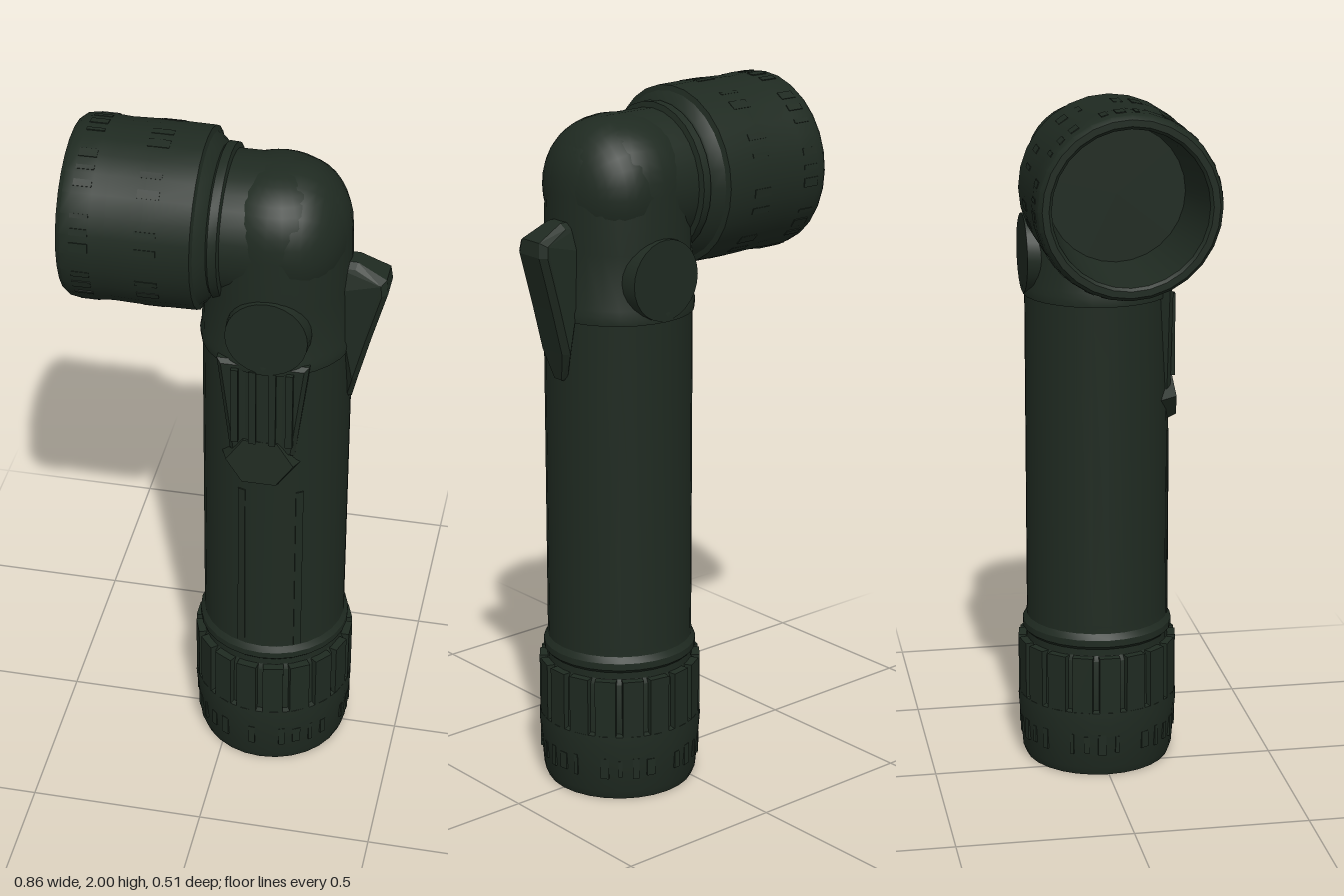
import * as THREE from 'three';
import { toCreasedNormals } from 'three/addons/utils/BufferGeometryUtils.js';

const AXIS_X = 0.123;  // upright body axis
const HEAD_Y = 1.75;   // horizontal head axis
const SEG = 28;

export function createModel() {
  const green = new THREE.MeshStandardMaterial({ color: 0x1f2a21 });
  green.name = 'olive plastic';
  const grey = new THREE.MeshStandardMaterial({ color: 0x6b6569 });
  grey.name = 'grey base disc';

  const model = new THREE.Group();
  model.name = 'angleFlashlight';

  const add = (name, geo, parent = model, mat = green) => {
    const mesh = new THREE.Mesh(geo, mat);
    mesh.name = name;
    parent.add(mesh);
    return mesh;
  };
  const lathe = (pts) => toCreasedNormals(
    new THREE.LatheGeometry(pts.map(([r, y]) => new THREE.Vector2(r, y)), SEG), 0.5);
  const shape = (pts) => new THREE.Shape(pts.map(([x, y]) => new THREE.Vector2(x, y)));

  // Quarter of a squared-off ellipse, closing a profile at the axis
  const roundEnd = (r, y0, h, power) => {
    const pts = [];
    for (let i = 0; i < 10; i++) {
      const a = (i / 10) * Math.PI / 2;
      pts.push([r * Math.pow(Math.cos(a), power), y0 + h * Math.pow(Math.sin(a), power)]);
    }
    return [...pts, [0, y0 + h]];
  };

  // Boxes spaced around a y axis, each pointing outwards
  const ringOfBoxes = (name, parent, count, radius, y, size) => {
    for (let i = 0; i < count; i++) {
      const dims = size(i);
      if (!dims) continue;
      const a = ((i + 0.5) / count) * Math.PI * 2;
      const box = add(name, new THREE.BoxGeometry(...dims), parent);
      box.position.set(Math.sin(a) * radius, y, Math.cos(a) * radius);
      box.rotation.y = a;
    }
  };

  // Upright parts share one axis
  const upright = new THREE.Group();
  upright.name = 'uprightParts';
  upright.position.x = AXIS_X;
  model.add(upright);

  // Tail cap with a recessed underside
  add('tailCap', lathe([
    [0, 0.07], [0.165, 0.07], [0.17, 0.008], [0.18, 0], [0.212, 0], [0.222, 0.025],
    [0.234, 0.17], [0.233, 0.2], [0.219, 0.205], [0.217, 0.355], [0.206, 0.375], [0, 0.375],
  ]), upright);
  const disc = add('baseDisc', new THREE.CircleGeometry(0.165, SEG), upright, grey);
  disc.position.y = 0.066;
  disc.rotation.x = Math.PI / 2;
  ringOfBoxes('capRib', upright, 18, 0.219, 0.284, () => [0.06, 0.17, 0.024]);
  ringOfBoxes('capNub', upright, 32, 0.225, 0.1,
    (i) => (i % 5 === 0 ? null : [0.012 + 0.006 * (i % 3), 0.05 + 0.012 * (i % 2), 0.012]));

  // Battery tube with a collar ring above the cap
  add('bodyTube', lathe([
    [0, 0.36], [0.209, 0.36], [0.209, 0.39], [0.219, 0.4], [0.219, 0.42], [0.208, 0.437],
    [0.207, 0.46], [0.207, 1.43], [0, 1.43],
  ]), upright);

  // Elbow: flared skirt rising into a dome
  add('elbowDome', lathe([
    [0, 1.405], [0.212, 1.405], [0.214, 1.43], [0.209, 1.445], [0.204, 1.6],
    ...roundEnd(0.2, HEAD_Y, 0.196, 0.88),
  ]), upright);

  // Pivot discs, almost flush with the front and back of the elbow
  for (const s of [1, -1]) {
    const pivot = add(s > 0 ? 'frontPivotDisc' : 'backPivotDisc', toCreasedNormals(
      new THREE.CylinderGeometry(0.113, 0.12, 0.1, SEG), 0.5), upright);
    pivot.rotation.x = s * Math.PI / 2;
    pivot.position.set(0.007, 1.522, s * 0.163);
  }

  // Horizontal head, opening towards -x, its neck running on into the elbow
  const head = new THREE.Group();
  head.name = 'head';
  head.position.y = HEAD_Y;
  head.rotation.z = -Math.PI / 2;
  model.add(head);
  add('headShell', lathe([
    [0, -0.2], [0.19, -0.2], [0.212, -0.425], [0.22, -0.433], [0.238, -0.433], [0.248, -0.42],
    [0.252, -0.395], [0.252, -0.34], [0.249, -0.3], [0.252, -0.2], [0.25, -0.07],
    [0.235, -0.065], [0.213, -0.04], [0.206, -0.036], [0.213, -0.03], [0.212, -0.006],
    [0.196, -0.002], ...roundEnd(0.196, 0.16, 0.16, 0.95),
  ]), head);
  // Low grip nubs in two bands
  ringOfBoxes('frontGripNub', head, 36, 0.247, -0.368,
    (i) => (i % 4 === 0 ? null : [0.012 + 0.007 * (i % 3), 0.05, 0.012]));
  ringOfBoxes('rearGripNub', head, 30, 0.246, -0.19,
    (i) => (i % 3 === 0 ? null : [0.012 + 0.006 * (i % 4), 0.06, 0.012]));

  // Belt clip: a wedge behind the elbow, narrowing at its tip and top
  const clipGeo = new THREE.ExtrudeGeometry(shape([
    [0.29, 1.23], [0.325, 1.245], [0.342, 1.32], [0.375, 1.45], [0.416, 1.6], [0.412, 1.63],
    [0.34, 1.665], [0.29, 1.665], [0.29, 1.6], [0.29, 1.32],
  ]), { depth: 0.085, bevelSize: 0.014, bevelThickness: 0.02, bevelSegments: 1 });
  clipGeo.translate(0, 0, -0.0425);
  const cp = clipGeo.attributes.position;
  for (let i = 0; i < cp.count; i++) {
    const y = cp.getY(i);
    const narrow = Math.min(
      THREE.MathUtils.mapLinear(y, 1.22, 1.31, 0.25, 1),
      THREE.MathUtils.mapLinear(y, 1.62, 1.68, 1, 0.6), 1);
    cp.setZ(i, cp.getZ(i) * narrow + 0.002);
  }
  clipGeo.computeVertexNormals();
  add('beltClip', clipGeo);

  // Switch ramp on the front, with raised rails
  const ramp = add('switchRamp', new THREE.ExtrudeGeometry(shape([
    [-0.12, 1.42], [-0.085, 1.14], [0.075, 1.14], [0.11, 1.42],
  ]), { depth: 0.045, bevelSize: 0.012, bevelThickness: 0.012, bevelSegments: 1 }), upright);
  ramp.position.z = 0.143;
  for (const x of [-0.08, -0.03, 0.025, 0.072]) {
    const rail = add('switchRail', new THREE.BoxGeometry(0.02, 0.24, 0.03), upright);
    rail.position.set(x, 1.29, 0.197);
  }

  // Six-sided thumb knob, leaning out at its lower edge
  const knobGeo = new THREE.CylinderGeometry(0.095, 0.128, 0.085, 6);
  knobGeo.rotateY(Math.PI / 6).rotateX(Math.PI / 2).scale(1, 0.8, 1);
  const knob = add('switchKnob', toCreasedNormals(knobGeo, 0.3), upright);
  knob.rotation.x = -0.12;
  knob.position.set(-0.008, 1.105, 0.173);

  // Shallow seams down the front of the tube
  for (const x of [-0.06, 0.1]) {
    const seam = add('tubeSeam', new THREE.BoxGeometry(0.022, 0.56, 0.008), upright);
    const a = Math.asin(x / 0.207);
    seam.position.set(x, 0.72, 0.205 * Math.cos(a));
    seam.rotation.y = a;
  }

  return model;
}
